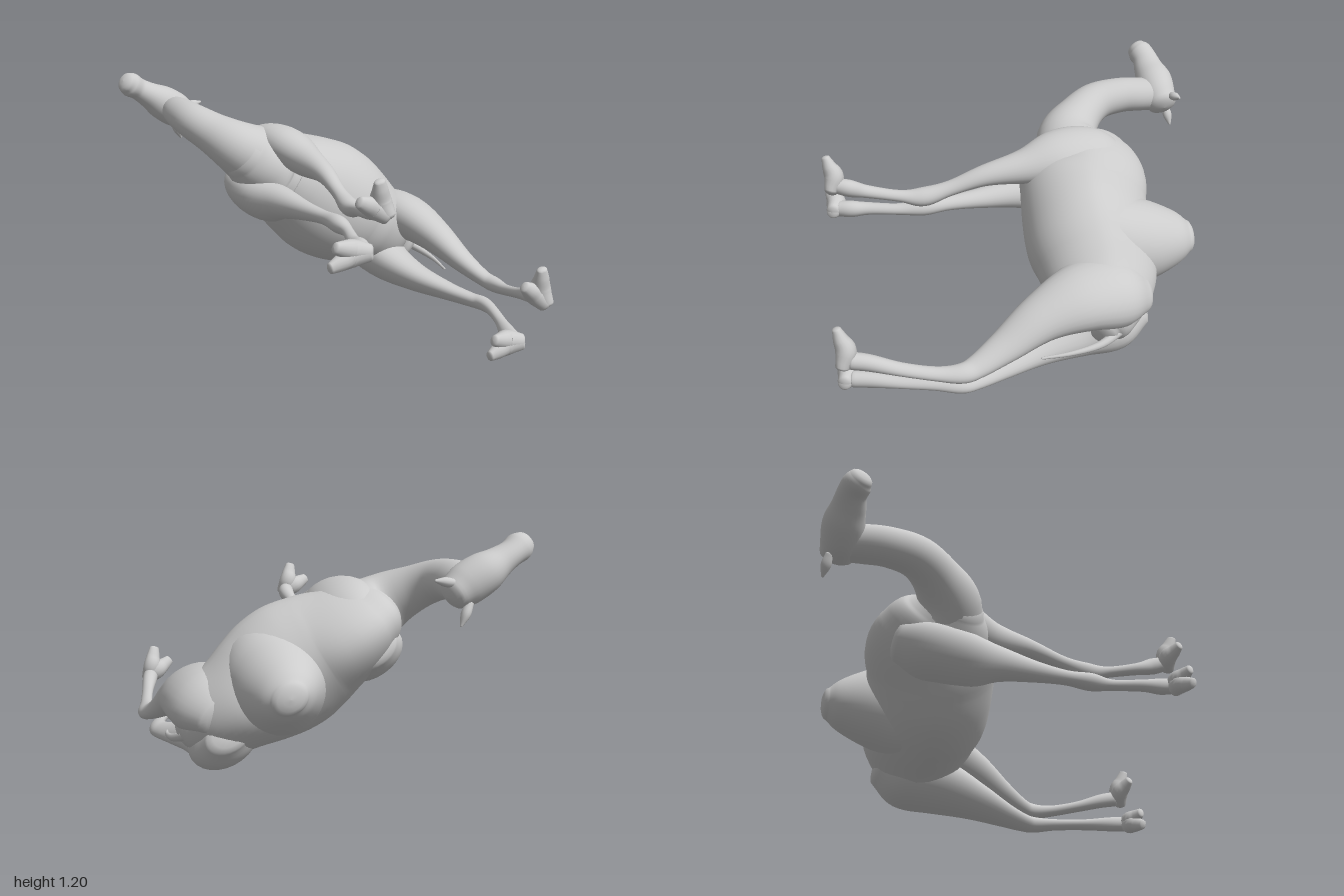
import * as THREE from 'three';

const V = (x, y, z) => new THREE.Vector3(x, y, z);
const material = new THREE.MeshStandardMaterial({ color: 0xcccccc });

// Body frame: the animal's back points to -z and its head to -x/+y
const FORE = V(-0.848, 0.53, 0);
const SIDE = V(0.53, 0.848, 0);
const bodyPoint = (u, v, w) => V(0.16, 0.53, -w).addScaledVector(FORE, u).addScaledVector(SIDE, v);

// Smooth skin over elliptical rings: rows of [point, half width, half depth];
// taper narrows the upper half of each ring
function loft(name, rows, { cap = 0.5, steps = 6, sides = 28, taper = 0 } = {}) {
  const path = new THREE.CatmullRomCurve3(rows.map(r => r[0]), false, 'catmullrom', 0.5);
  const size = new THREE.CatmullRomCurve3(rows.map(r => V(r[1], r[2], 0)), false, 'catmullrom', 0.5);
  const n = (rows.length - 1) * steps;
  const rings = [];
  const add = (t, shift, k) => {
    const T = path.getTangent(t), s = size.getPoint(t);
    const A = SIDE.clone().addScaledVector(T, -SIDE.dot(T)).normalize();
    const B = T.clone().cross(A);
    const c = path.getPoint(t).addScaledVector(T, shift * Math.min(s.x, s.y) * cap);
    rings.push({ c, A, B, a: Math.max(s.x, 0) * k, b: Math.max(s.y, 0) * k });
  };
  const arc = [0, 0.25, 0.5, 0.75].map(q => q * Math.PI / 2);
  arc.forEach(q => add(0, -Math.cos(q), Math.sin(q)));
  for (let i = 0; i <= n; i++) add(i / n, 0, 1);
  arc.slice().reverse().forEach(q => add(1, Math.cos(q), Math.sin(q)));

  const pos = [], index = [];
  rings.forEach(({ c, A, B, a, b }, i) => {
    for (let j = 0; j < sides; j++) {
      const q = j / sides * Math.PI * 2, up = Math.sin(q);
      const p = c.clone().addScaledVector(A, a * Math.cos(q) * (1 - taper * Math.max(up, 0))).addScaledVector(B, b * up);
      pos.push(p.x, p.y, Math.min(p.z, 1)); // soles are flat at z = 1
      if (i < rings.length - 1) {
        const k = (j + 1) % sides, r = i * sides, s = r + sides;
        index.push(r + j, r + k, s + j, r + k, s + k, s + j);
      }
    }
  });
  const g = new THREE.BufferGeometry();
  g.setAttribute('position', new THREE.Float32BufferAttribute(pos, 3));
  g.setIndex(index);
  g.computeVertexNormals();
  const mesh = new THREE.Mesh(g, material);
  mesh.name = name;
  return mesh;
}

// Leg rows: x, y, z, half width, half depth; the toe tips set the foot direction
function leg(name, rows, tips) {
  const group = new THREE.Group();
  group.name = name;
  group.add(loft(name + 'Limb', rows.map(([x, y, z, a, b]) => [V(x, y, z), a, b])));
  const [x, y] = rows[rows.length - 1];
  const mx = (tips[0][0] + tips[1][0]) / 2 - x, my = (tips[0][1] + tips[1][1]) / 2 - y;
  for (const [tx, ty] of tips) {
    const at = (k, z) => V(x + (tx - x) * k, y + (ty - y) * k, z);
    group.add(loft(name + 'Toe', [
      [V(x - mx * 0.15, y - my * 0.15, 0.965), 0.04, 0.035],
      [at(0.3, 0.945), 0.05, 0.05],
      [at(0.65, 0.965), 0.04, 0.036],
      [at(0.93, 0.98), 0.028, 0.022],
    ], { sides: 16, steps: 4 }));
  }
  return group;
}

export function createModel() {
  const model = new THREE.Group();
  model.name = 'camel';

  // Torso: station, top, bottom, half width
  const torso = [
    [-0.59, 0.38, 0.24, 0.1], [-0.54, 0.47, 0.19, 0.16], [-0.45, 0.56, 0.12, 0.215],
    [-0.32, 0.63, 0.06, 0.25], [-0.2, 0.65, 0.03, 0.29], [-0.08, 0.66, 0, 0.32],
    [0.05, 0.66, 0, 0.325], [0.18, 0.675, 0.01, 0.295], [0.31, 0.7, 0.02, 0.25],
    [0.42, 0.645, 0.04, 0.21], [0.51, 0.54, 0.08, 0.175], [0.58, 0.45, 0.13, 0.14],
  ];
  model.add(loft('torso', torso.map(([u, top, low, a]) =>
    [bodyPoint(u, -0.01, (top + low) / 2), a, (top - low) / 2]), { sides: 48, taper: 0.18 }));

  // Hump, spreading into the flanks
  const hump = [[0.36, 0.295, 0.25], [0.48, 0.265, 0.245], [0.58, 0.225, 0.225], [0.66, 0.19, 0.2],
    [0.74, 0.15, 0.165], [0.8, 0.115, 0.13], [0.845, 0.075, 0.09]];
  model.add(loft('hump', hump.map(([w, a, b]) => [bodyPoint(-0.09, -0.005, w), a, b]), { cap: 0.45, sides: 40 }));

  // Neck
  const neck = [[-0.2, 0.34, 0.2, 0.23], [-0.34, 0.33, 0.15, 0.17], [-0.45, 0.41, 0.115, 0.125],
    [-0.53, 0.52, 0.1, 0.108], [-0.56, 0.66, 0.092, 0.1], [-0.56, 0.78, 0.085, 0.098], [-0.55, 0.88, 0.08, 0.09]];
  const onAxis = (x, w) => V(x, 0.53 - 0.625 * (x - 0.16), -w);
  model.add(loft('neck', neck.map(([x, w, a, b]) => [onAxis(x, w), a, b]), { sides: 36 }));

  // Head, from the back of the skull to the muzzle
  const head = [[-0.5, 0.905, 0.08, 0.085], [-0.56, 0.893, 0.098, 0.1], [-0.64, 0.892, 0.095, 0.102],
    [-0.71, 0.882, 0.073, 0.085], [-0.77, 0.875, 0.062, 0.072], [-0.815, 0.857, 0.068, 0.07],
    [-0.84, 0.843, 0.058, 0.058]];
  model.add(loft('head', head.map(([x, w, a, b]) => [onAxis(x, w), a, b])));

  // Ears
  const ears = [[V(-0.49, 0.99, -0.945), V(-0.39, 1.005, -0.97)], [V(-0.56, 0.9, -0.945), V(-0.515, 0.8, -0.965)]];
  for (const [from, to] of ears) {
    const mid = from.clone().lerp(to, 0.5);
    model.add(loft('ear', [[from, 0.018, 0.018], [mid, 0.022, 0.025], [to, 0.006, 0.006]], { sides: 14 }));
  }

  // Legs, each starting as a shoulder or haunch inside the torso
  model.add(leg('frontLeftLeg', [
    [-0.12, 0.76, -0.54, 0.09, 0.13], [-0.11, 0.815, -0.4, 0.12, 0.175], [-0.085, 0.835, -0.22, 0.115, 0.16],
    [-0.055, 0.81, -0.03, 0.083, 0.095], [-0.035, 0.785, 0.18, 0.05, 0.058], [-0.03, 0.73, 0.36, 0.035, 0.042],
    [-0.03, 0.693, 0.5, 0.045, 0.052], [-0.035, 0.705, 0.62, 0.027, 0.032], [-0.05, 0.735, 0.78, 0.031, 0.034],
    [-0.04, 0.765, 0.87, 0.046, 0.043], [-0.05, 0.78, 0.93, 0.042, 0.04],
  ], [[-0.185, 0.845], [-0.085, 0.935]]));
  model.add(leg('frontRightLeg', [
    [-0.22, 0.64, -0.54, 0.09, 0.13], [-0.245, 0.595, -0.4, 0.12, 0.175], [-0.23, 0.58, -0.22, 0.115, 0.16],
    [-0.195, 0.6, -0.03, 0.083, 0.095], [-0.145, 0.605, 0.18, 0.05, 0.058], [-0.105, 0.61, 0.36, 0.035, 0.042],
    [-0.085, 0.61, 0.5, 0.043, 0.05], [-0.085, 0.605, 0.62, 0.027, 0.032], [-0.12, 0.605, 0.78, 0.031, 0.034],
    [-0.13, 0.605, 0.87, 0.045, 0.043], [-0.145, 0.605, 0.93, 0.042, 0.04],
  ], [[-0.32, 0.555], [-0.295, 0.65]]));
  model.add(leg('hindLeftLeg', [
    [0.51, 0.35, -0.51, 0.09, 0.13], [0.56, 0.385, -0.38, 0.14, 0.19], [0.615, 0.4, -0.2, 0.125, 0.18],
    [0.675, 0.345, 0.01, 0.092, 0.125], [0.745, 0.25, 0.2, 0.06, 0.085], [0.8, 0.19, 0.34, 0.042, 0.06],
    [0.825, 0.175, 0.42, 0.04, 0.05], [0.822, 0.185, 0.54, 0.028, 0.036], [0.808, 0.22, 0.7, 0.027, 0.034],
    [0.79, 0.26, 0.84, 0.04, 0.04], [0.78, 0.275, 0.92, 0.043, 0.042],
  ], [[0.655, 0.365], [0.75, 0.445]]));
  model.add(leg('hindRightLeg', [
    [0.47, 0.25, -0.51, 0.09, 0.13], [0.475, 0.2, -0.38, 0.14, 0.19], [0.49, 0.16, -0.2, 0.115, 0.17],
    [0.56, 0.12, 0.01, 0.078, 0.12], [0.66, 0.09, 0.2, 0.05, 0.08], [0.735, 0.075, 0.34, 0.038, 0.058],
    [0.765, 0.075, 0.42, 0.037, 0.05], [0.75, 0.08, 0.54, 0.028, 0.036], [0.71, 0.08, 0.7, 0.027, 0.034],
    [0.665, 0.08, 0.84, 0.04, 0.04], [0.645, 0.08, 0.92, 0.043, 0.042],
  ], [[0.485, 0.035], [0.505, 0.115]]));

  // Tail
  model.add(loft('tail', [[V(0.65, 0.225, -0.4), 0.03, 0.03], [V(0.715, 0.185, -0.28), 0.02, 0.02],
    [V(0.74, 0.165, -0.13), 0.012, 0.012], [V(0.735, 0.15, 0.02), 0.006, 0.006]], { sides: 12 }));

  return model;
}
